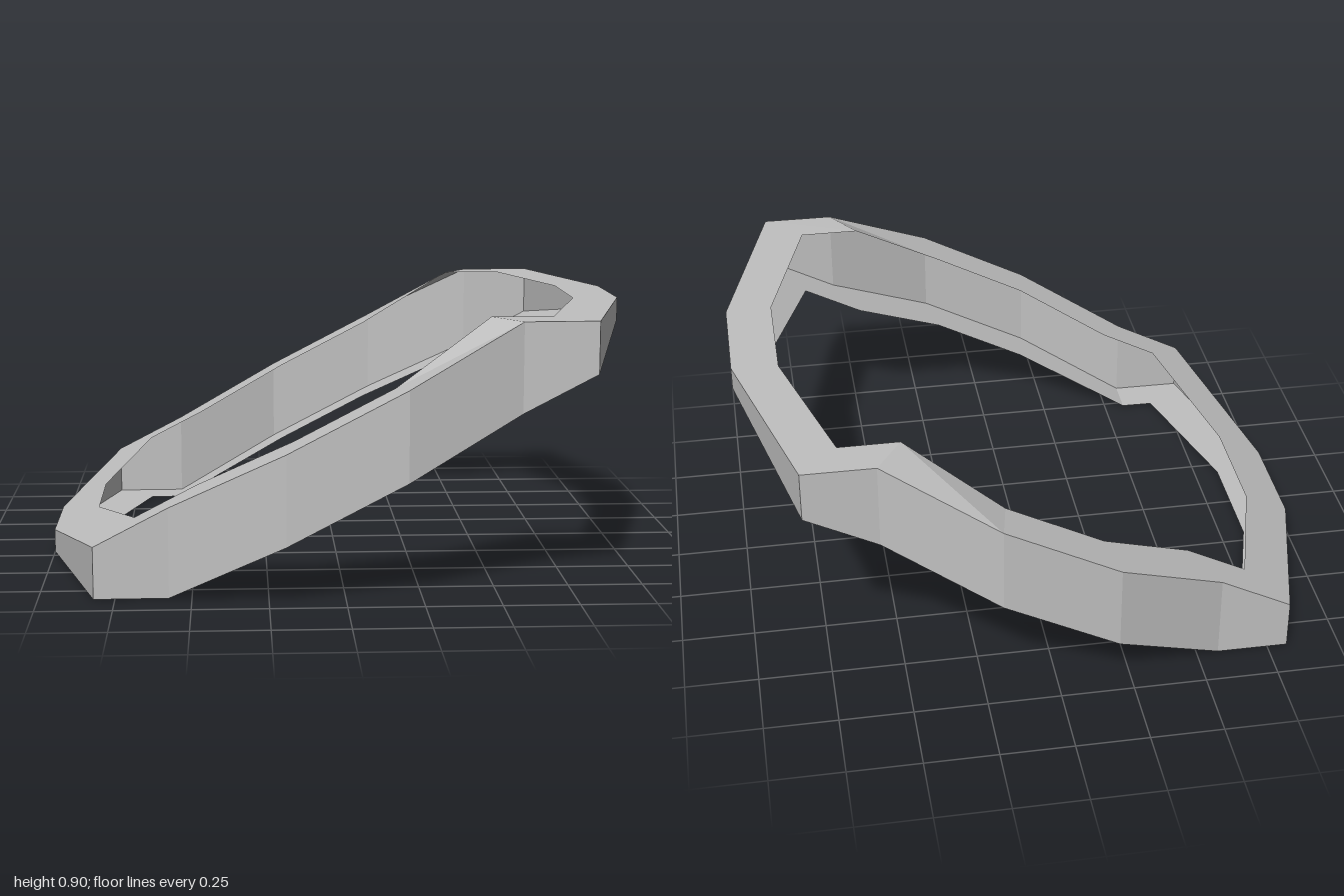
import * as THREE from 'three';

// Quarter outlines [x, z] of the ring, from the side round to the front
const OUTER = [[1, 0.19], [0.82, 0.86], [0.575, 0.86], [0.195, 1]];
const INNER = [[0.84, 0.2], [0.69, 0.725], [0.485, 0.725], [0.165, 0.845]];
const SLOPE = 0.52, HEIGHT = 0.9;

// Heights of the tilted band, cut flat at the ground and at the top
const topY = (x) => Math.min(HEIGHT, 0.6 + SLOPE * x);
const bottomY = (x) => Math.max(0, 0.3 + SLOPE * x);

// Mirror a quarter outline into the full 16-point loop
function fullLoop(quarter) {
  const flip = (sx, sz) => quarter.map(([x, z]) => [x * sx, z * sz]);
  return [...flip(1, 1), ...flip(-1, 1).reverse(), ...flip(-1, -1), ...flip(1, -1).reverse()];
}

// Flat-shaded strip of quads between two closed loops
function strip(name, a, b, material) {
  const pos = [];
  a.forEach((p, i) => {
    const j = (i + 1) % a.length;
    pos.push(...p, ...b[i], ...b[j], ...p, ...b[j], ...a[j]);
  });
  const geometry = new THREE.BufferGeometry();
  geometry.setAttribute('position', new THREE.Float32BufferAttribute(pos, 3));
  geometry.computeVertexNormals();
  const mesh = new THREE.Mesh(geometry, material);
  mesh.name = name;
  return mesh;
}

export function createModel() {
  const group = new THREE.Group();
  group.name = 'slantedRing';
  const grey = new THREE.MeshStandardMaterial({ color: 0xc0c0c0 });
  grey.name = 'light grey';
  grey.side = THREE.DoubleSide;

  const outer = fullLoop(OUTER), inner = fullLoop(INNER);
  const outerTop = outer.map(([x, z]) => [x, topY(x), z]);
  const outerBottom = outer.map(([x, z]) => [x, bottomY(x), z]);
  // The upper inner rim reaches full height at the notch corners
  const innerTop = inner.map(([x, z]) => [x, x > 0.4 ? HEIGHT : topY(x), z]);
  // The lower inner rim meets the ground where the slope does
  const innerBottom = inner.map(([x, z]) => {
    const px = x === -0.485 ? -0.575 : x;
    return [px, bottomY(px), z];
  });

  // Open channel: outer wall with a flange above and below
  group.add(
    strip('outerWall', outerBottom, outerTop, grey),
    strip('topFlange', outerTop, innerTop, grey),
    strip('bottomFlange', innerBottom, outerBottom, grey),
  );
  return group;
}
